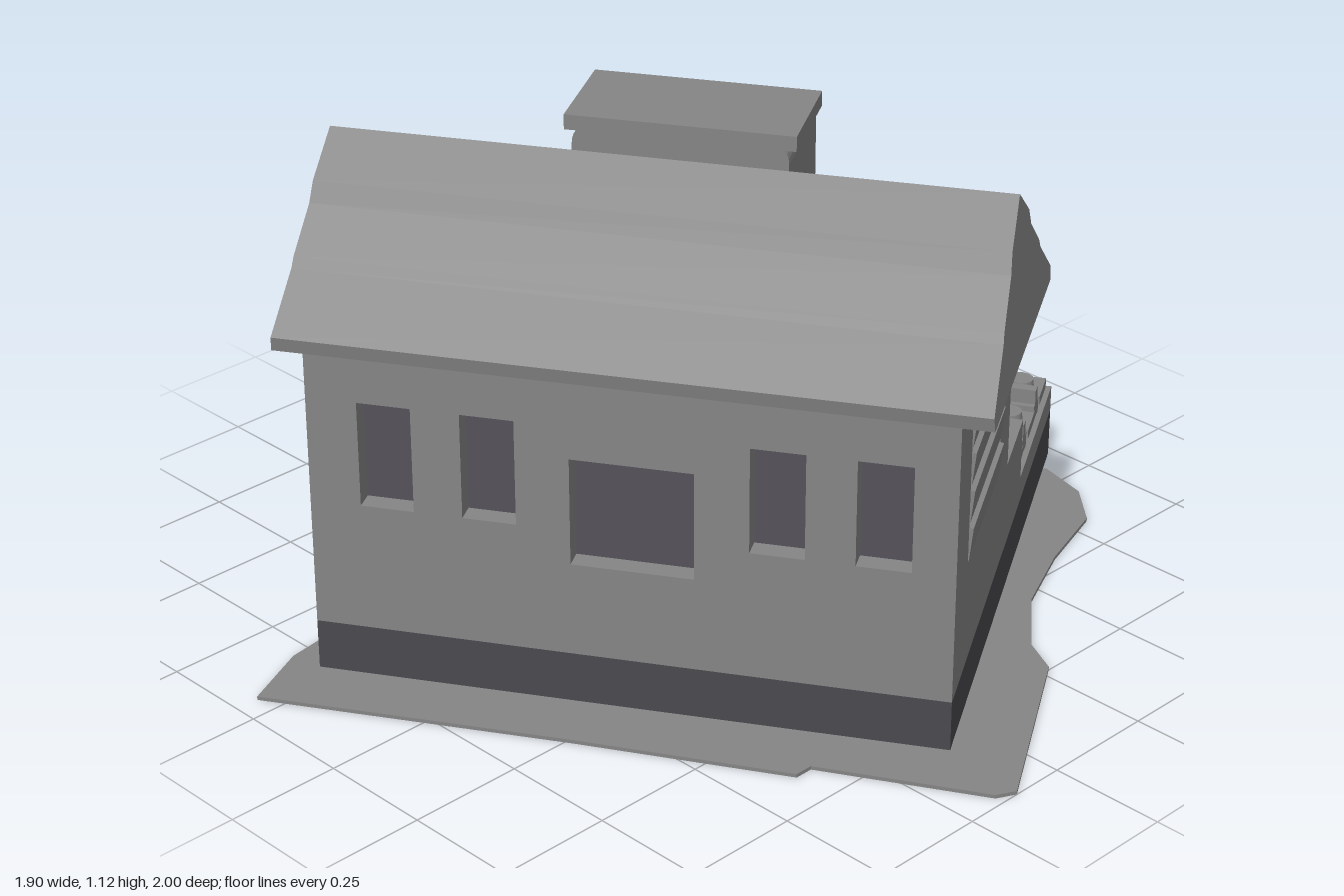
import * as THREE from 'three';

const material = (name, color) => {
  const m = new THREE.MeshStandardMaterial({ color });
  m.name = name;
  return m;
};

export function createModel() {
  const stone = material('stoneGrey', 0x858585);
  const dark = material('baseGrey', 0x4a494e);
  const glass = material('openingGrey', 0x55535a);
  const red = material('sleeperRed', 0x7e4848);

  const model = new THREE.Group();
  model.name = 'trainStation';
  // Everything on the plinth is built square, then turned as one.
  const station = new THREE.Group();
  station.name = 'station';
  station.rotation.y = 0.55;
  model.add(station);

  const add = (name, geometry, mat, parent = station) => {
    const mesh = new THREE.Mesh(geometry, mat);
    mesh.name = name;
    parent.add(mesh);
    return mesh;
  };
  // Box given by its limits on each axis
  const box = (name, mat, x0, x1, y0, y1, z0, z1) => {
    const mesh = add(name, new THREE.BoxGeometry(x1 - x0, y1 - y0, z1 - z0), mat);
    mesh.position.set((x0 + x1) / 2, (y0 + y1) / 2, (z0 + z1) / 2);
    return mesh;
  };
  const polygon = pts => new THREE.Shape(pts.map(p => new THREE.Vector2(...p)));
  const extrude = (shape, depth) => new THREE.ExtrudeGeometry(shape, { depth, bevelEnabled: false, curveSegments: 6 });
  // Shape drawn in (z, y), extruded along x from x0 to x1
  const sideways = (shape, x0, x1) => extrude(shape, x1 - x0).rotateY(Math.PI / 2).translate(x0, 0, 0);
  const rect = (x0, x1, y0, y1) => polygon([[x0, y0], [x1, y0], [x1, y1], [x0, y1]]);

  // Ragged ground sheet under the plinth
  const ground = polygon([
    [-0.95, -0.3], [-0.61, 0.26], [-0.38, 0.66], [-0.34, 0.66], [-0.16, 0.98], [-0.12, 1],
    [0.27, 0.75], [0.31, 0.67], [0.45, 0.55], [0.62, 0.47], [0.8, 0.41], [0.88, 0.32], [0.91, 0.2],
    [0.75, 0.12], [0.38, -0.06], [0.28, -0.55], [0.41, -0.74], [0.38, -0.86], [0.48, -0.87],
    [0.46, -0.91], [0.37, -0.92], [0.28, -0.97], [0.22, -0.995], [0.11, -1], [-0.12, -0.86],
    [-0.08, -0.74], [-0.15, -0.6], [-0.2, -0.45], [-0.45, -0.42], [-0.8, -0.37]
  ]);
  add('groundSheet', extrude(ground, 0.008).rotateX(Math.PI / 2).translate(0, 0.008, 0), stone, model);

  // Plinth, track bed and platform
  box('plinth', dark, -0.533, 0.722, 0.02, 0.13, -0.66, 0.642);
  box('trackBed', stone, 0.27, 0.722, 0.13, 0.19, -0.66, 0.642);
  box('platform', stone, 0.05, 0.287, 0.13, 0.33, -0.66, 0.642);
  box('foundation', stone, -0.533, 0.085, 0.13, 0.33, -0.66, 0.642);

  // House: dark core seen through openings cut in the long walls
  box('roomCore', glass, -0.49, 0.045, 0.33, 0.76, -0.62, 0.6);
  const openings = [[-0.555, -0.445, 0.41, 0.64], [-0.345, -0.235, 0.41, 0.64], [-0.125, 0.125, 0.335, 0.57],
    [0.235, 0.345, 0.41, 0.64], [0.445, 0.555, 0.41, 0.64]];
  const wall = rect(-0.642, 0.66, 0.33, 0.77);
  openings.forEach(o => wall.holes.push(rect(...o)));
  add('trackSideWall', sideways(wall, 0.035, 0.085), stone);
  add('streetSideWall', sideways(wall, -0.533, -0.483), stone);

  // End walls with a framed panel of planks
  for (const s of [-1, 1]) {
    const face = s > 0 ? 0.642 : -0.66;
    const end = rect(-0.533, 0.085, 0.33, 0.77);
    end.holes.push(rect(-0.4, -0.03, 0.37, 0.705));
    add('endWall', extrude(end, 0.04).translate(0, 0, s > 0 ? face - 0.04 : face), stone);
    box('plankBacking', stone, -0.42, -0.01, 0.35, 0.73, face - s * 0.03 - 0.01, face - s * 0.03 + 0.01);
    for (let i = 0; i < 4; i++) {
      const y = 0.377 + i * 0.083;
      const plank = box('plank', stone, -0.395, -0.035, y, y + 0.07, face - 0.025, face + 0.025);
      plank.position.z = face - s * 0.02;
      plank.rotation.x = s * 0.1;
    }
  }

  // Roof: overlapping stepped courses down both slopes
  const slope = [[0, 1.09], [0.1, 1.015], [0.12, 0.975], [0.21, 0.9], [0.222, 0.88], [0.34, 0.785], [0.335, 0.755]];
  const mid = -0.235;
  const roofShape = polygon([
    ...slope.map(([x, y]) => [mid + x, y]).reverse(),
    ...slope.slice(1).map(([x, y]) => [mid - x, y])
  ]);
  const roof = extrude(roofShape, 1.42).translate(0, 0, -0.71);
  // Draw the gable ends in slightly towards the ridge
  const p = roof.attributes.position;
  for (let i = 0; i < p.count; i++) p.setZ(i, p.getZ(i) * (1 - 0.09 * (p.getY(i) - 0.755)));
  roof.computeVertexNormals();
  add('roof', roof, stone);

  // Clock gable on the track side
  const gable = new THREE.Shape();
  gable.moveTo(-0.22, 0.74);
  gable.lineTo(0.22, 0.74);
  gable.lineTo(0.22, 1.06);
  gable.quadraticCurveTo(0.22, 1.1, 0.18, 1.1);
  gable.lineTo(-0.18, 1.1);
  gable.quadraticCurveTo(-0.22, 1.1, -0.22, 1.06);
  add('clockGable', sideways(gable, -0.14, 0.112), stone);
  box('gableCap', stone, -0.142, 0.095, 1.09, 1.122, -0.235, 0.235);
  const disc = (name, radius, depth, x) => {
    const mesh = add(name, new THREE.CylinderGeometry(radius, radius, depth, 32).rotateZ(Math.PI / 2), stone);
    mesh.position.set(x, 0.93, 0.005);
  };
  disc('clockBody', 0.14, 0.05, 0.125);
  disc('clockFace', 0.118, 0.012, 0.152);
  box('clockHand', stone, 0.156, 0.162, 0.925, 1.0, 0, 0.01);

  // Track: sleepers and studded tiles in three columns, with two rails between them
  const columns = [0.345, 0.51, 0.67];
  const block = (name, mat, x, z, top, half) =>
    box(name, mat, x - half, x + half, 0.185, top, z - 0.05, z + 0.05);
  for (const x of columns) {
    for (const z of [-0.47, 0.116, 0.44]) block('sleeper', red, x, z, 0.228, 0.05);
    for (const z of [-0.595, -0.36, 0.228, 0.335, 0.58]) {
      block('tile', stone, x, z, 0.212, 0.046);
      const stud = add('stud', new THREE.CylinderGeometry(0.028, 0.03, 0.02, 12), stone);
      stud.position.set(x, 0.22, z);
    }
  }
  block('looseSleeper', red, 0.67, -0.235, 0.228, 0.05);
  for (const x of [0.428, 0.595]) {
    const rail = new THREE.Group();
    rail.name = 'rail';
    rail.position.set(x, 0, -0.01);
    rail.rotation.y = -0.035;
    station.add(rail);
    add('railFoot', new THREE.BoxGeometry(0.05, 0.04, 1.28), stone, rail).position.y = 0.205;
    add('railHead', new THREE.BoxGeometry(0.024, 0.035, 1.28), stone, rail).position.y = 0.241;
  }
  return model;
}
